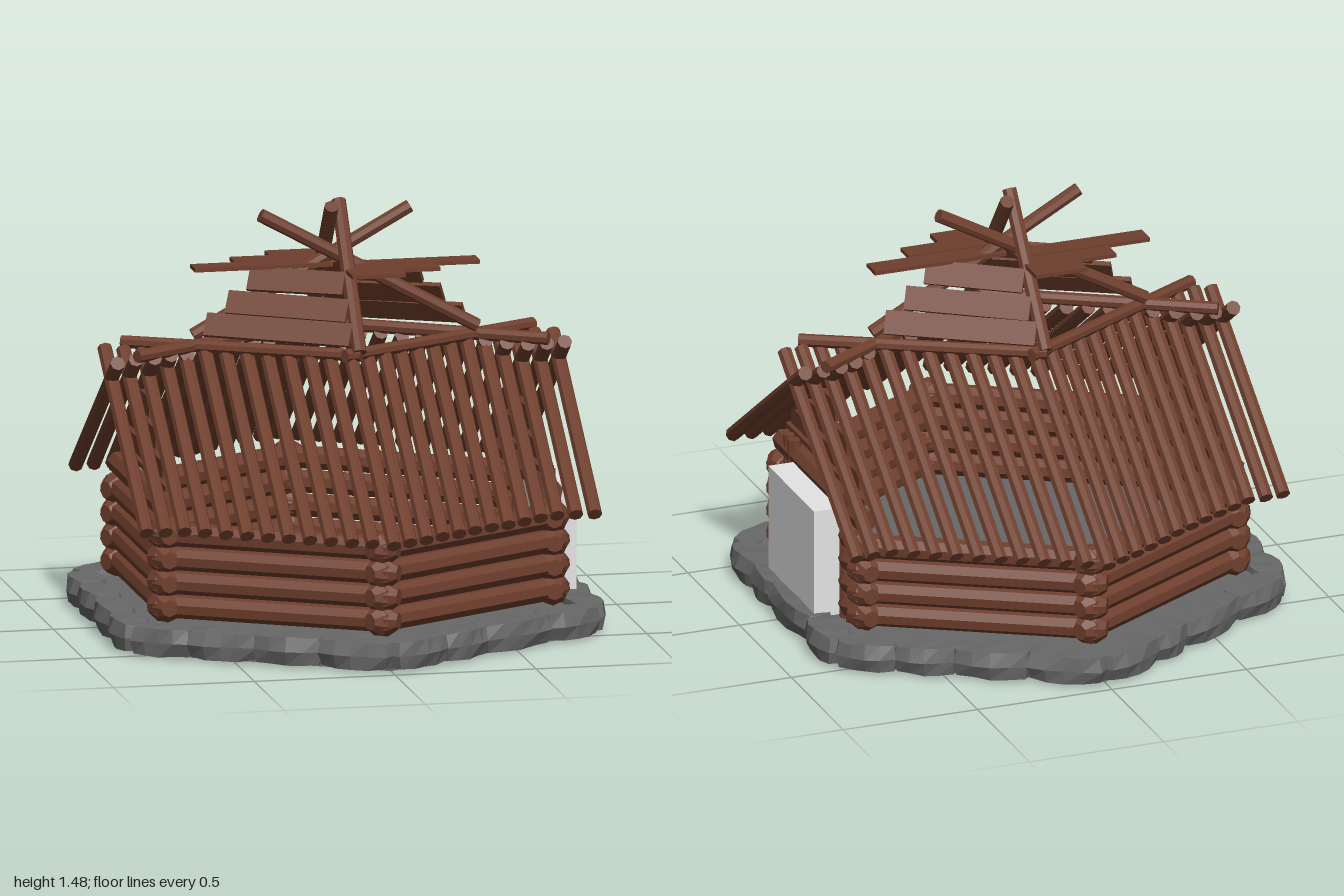
import * as THREE from 'three';

const wood = new THREE.MeshStandardMaterial({ color: 0x6f3f2d, flatShading: true });
wood.name = 'brown wood';
const stone = new THREE.MeshStandardMaterial({ color: 0x686868, flatShading: true });
stone.name = 'grey stone';
const pale = new THREE.MeshStandardMaterial({ color: 0xe4e4e4, flatShading: true });
pale.name = 'pale door';

const V = (x, y, z) => new THREE.Vector3(x, y, z);
const UP = V(0, 1, 0);

let seed = 7;
const rand = () => (seed = (seed * 16807) % 2147483647) / 2147483647;

function add(parent, name, geometry, material) {
  const mesh = new THREE.Mesh(geometry, material);
  mesh.name = name;
  parent.add(mesh);
  return mesh;
}

// Lay a y-axis geometry along the line from a to b
function along(mesh, a, b) {
  mesh.position.copy(a).add(b).multiplyScalar(0.5);
  mesh.quaternion.setFromUnitVectors(UP, b.clone().sub(a).normalize());
  return mesh;
}

function pole(parent, name, a, b, r, sides = 7) {
  return along(add(parent, name, new THREE.CylinderGeometry(r, r, a.distanceTo(b), sides), wood), a, b);
}

// Wall log with thick faceted knobs at both ends
function wallLog(parent, a, b) {
  const h = a.distanceTo(b) / 2;
  const half = [[0, h], [0.03, h], [0.056, h - 0.035], [0.056, h - 0.06], [0.042, h - 0.09]];
  const pts = [...half.map(([r, y]) => [r, -y]), ...half.slice().reverse()];
  const geo = new THREE.LatheGeometry(pts.map(([r, y]) => new THREE.Vector2(r, y)), 8);
  return along(add(parent, 'wallLog', geo, wood), a, b);
}

// Board from a to b, its width running along the slope direction
function plank(parent, name, a, b, slope, width, thick) {
  const x = b.clone().sub(a).normalize();
  const z = x.clone().cross(slope).normalize();
  const y = z.clone().cross(x);
  const mesh = add(parent, name, new THREE.BoxGeometry(a.distanceTo(b), width, thick), wood);
  mesh.quaternion.setFromRotationMatrix(new THREE.Matrix4().makeBasis(x, y, z));
  mesh.position.copy(a).add(b).multiplyScalar(0.5);
  return mesh;
}

function hexCorner(i, r, y) {
  const a = (i * Math.PI) / 3;
  return V(Math.sin(a) * r, y, Math.cos(a) * r);
}

function foundation() {
  const g = new THREE.Group();
  g.name = 'foundation';
  add(g, 'floorSlab', new THREE.CylinderGeometry(0.92, 0.93, 0.085, 6), stone).position.y = 0.045;
  // Irregular flat stones around the edge
  for (let e = 0; e < 6; e++) {
    const a = hexCorner(e, 0.93, 0.06), b = hexCorner(e + 1, 0.93, 0.06);
    const cuts = [0, 0.2 + rand() * 0.06, 0.42 + rand() * 0.08, 0.7 + rand() * 0.08, 1];
    for (let k = 0; k < 4; k++) {
      const length = (cuts[k + 1] - cuts[k]) * 0.93;
      const geo = new THREE.BoxGeometry(length + 0.03, 0.106, 0.14, 4, 2, 2);
      const p = geo.attributes.position;
      const phase = rand() * 6;
      for (let i = 0; i < p.count; i++) {
        const u = p.getX(i) / (length / 2 + 0.015);
        const v = p.getY(i) / 0.053, w = p.getZ(i) / 0.07;
        const n = Math.sin(u * 3 + v * 2 + w * 4 + phase);
        const round = 1 - 0.28 * u * u - 0.17 * v * v + 0.08 * n;
        p.setXYZ(i, p.getX(i) * (1 - 0.08 * v * v - 0.08 * w * w),
          p.getY(i) * (1 - 0.08 * u * u - 0.08 * Math.abs(n)), p.getZ(i) * round);
      }
      geo.computeVertexNormals();
      const m = add(g, 'edgeStone', geo, stone);
      m.position.lerpVectors(a, b, (cuts[k] + cuts[k + 1]) / 2);
      m.rotation.y = Math.PI / 3 * (e + 0.5) + (rand() - 0.5) * 0.12;
    }
  }
  return g;
}

function walls() {
  const g = new THREE.Group();
  g.name = 'walls';
  for (let e = 0; e < 6; e++) {
    for (let row = 0; row < 4; row++) {
      const y = 0.155 + row * 0.085;
      const a = hexCorner(e, 0.79, y), b = hexCorner(e + 1, 0.79, y);
      const over = b.clone().sub(a).setLength(0.06);
      a.sub(over);
      b.add(over);
      if (e === 1) {
        // Doorway side: short logs on each side of the opening
        wallLog(g, a, V(a.x, y, 0.24));
        wallLog(g, V(b.x, y, -0.24), b);
      } else wallLog(g, a, b);
    }
  }
  for (const s of [1, -1]) {
    // Gable beams and boards
    const board = (y, half, h) => plank(g, 'gableBoard', V(s * 0.67, y, -half), V(s * 0.67, y, half), UP, h, 0.025);
    pole(g, 'gableBeam', V(s * 0.685, 0.5, -0.4), V(s * 0.685, 0.5, 0.4), 0.04);
    board(0.562, 0.38, 0.018);
    board(0.62, 0.33, 0.06);
    board(0.705, 0.21, 0.07);
    board(0.795, 0.1, 0.07);
    pole(g, 'doorPost', V(0.7, 0.09, s * 0.25), V(0.7, 0.56, s * 0.25), 0.025);
    pole(g, 'doorPost', V(0.7, 0.09, s * 0.3), V(0.7, 0.56, s * 0.3), 0.02);
  }
  add(g, 'door', new THREE.BoxGeometry(0.11, 0.4, 0.44), pale).position.set(0.757, 0.292, -0.01);
  return g;
}

// Half of the roof; the other half is this one turned by 180 degrees
function roofHalf() {
  const g = new THREE.Group();
  g.name = 'roofHalf';
  // Parallel roof poles following the hexagonal eave
  for (let i = -12; i <= 12; i++) {
    const x = i * 0.0662;
    const z = Math.max(0.595, 0.975 - 0.575 * Math.abs(x)) + (rand() - 0.5) * 0.012;
    const dy = (rand() - 0.5) * 0.012;
    pole(g, 'roofPole', V(x, 0.455, z), V(x, 0.965 + dy, z - 0.7), 0.026, 8);
  }
  // Beams along the top of the slope
  for (const s of [1, -1]) {
    pole(g, 'topBeam', V(-s * 0.03, 0.99, 0.3), V(s * 0.73, 0.985, -0.13), 0.023, 8);
  }
  // Crossed poles of the smoke hood
  pole(g, 'hoodPole', V(0.023, 1.0, 0.3), V(0.023, 1.47, -0.05), 0.026, 8);
  pole(g, 'hoodPole', V(0.5, 1.02, 0.024), V(-0.27, 1.445, 0.024), 0.024, 8);

  // Sloped boards on one hood face
  const left = V(-0.5, 1.03, 0.0), right = V(0, 1.03, 0.29), apex = V(0, 1.38, 0.02);
  const slope = apex.clone().sub(left.clone().lerp(right, 0.5)).normalize();
  [[0.08, 0], [0.29, 0.03], [0.52, 0.07]].forEach(([t, extra]) => {
    const a = left.clone().lerp(apex, t), b = right.clone().lerp(apex, t);
    a.addScaledVector(b.clone().sub(a).normalize(), -extra);
    plank(g, 'hoodBoard', a, b, slope, 0.085, 0.018).rotateZ((rand() - 0.5) * 0.07);
  });

  // Flat stepped boards on top of the hood
  [[0.5, 0.03], [0.34, 0.12], [0.2, 0.2]].forEach(([length, z]) => {
    plank(g, 'hoodCap', V(0.01, 1.255, z), V(length, 1.255, z), V(0, 0, 1), 0.08, 0.014);
  });
  return g;
}

export function createModel() {
  const model = new THREE.Group();
  model.name = 'logHut';
  const front = roofHalf(), back = roofHalf();
  back.rotation.y = Math.PI;
  model.add(foundation(), walls(), front, back);
  return model;
}
